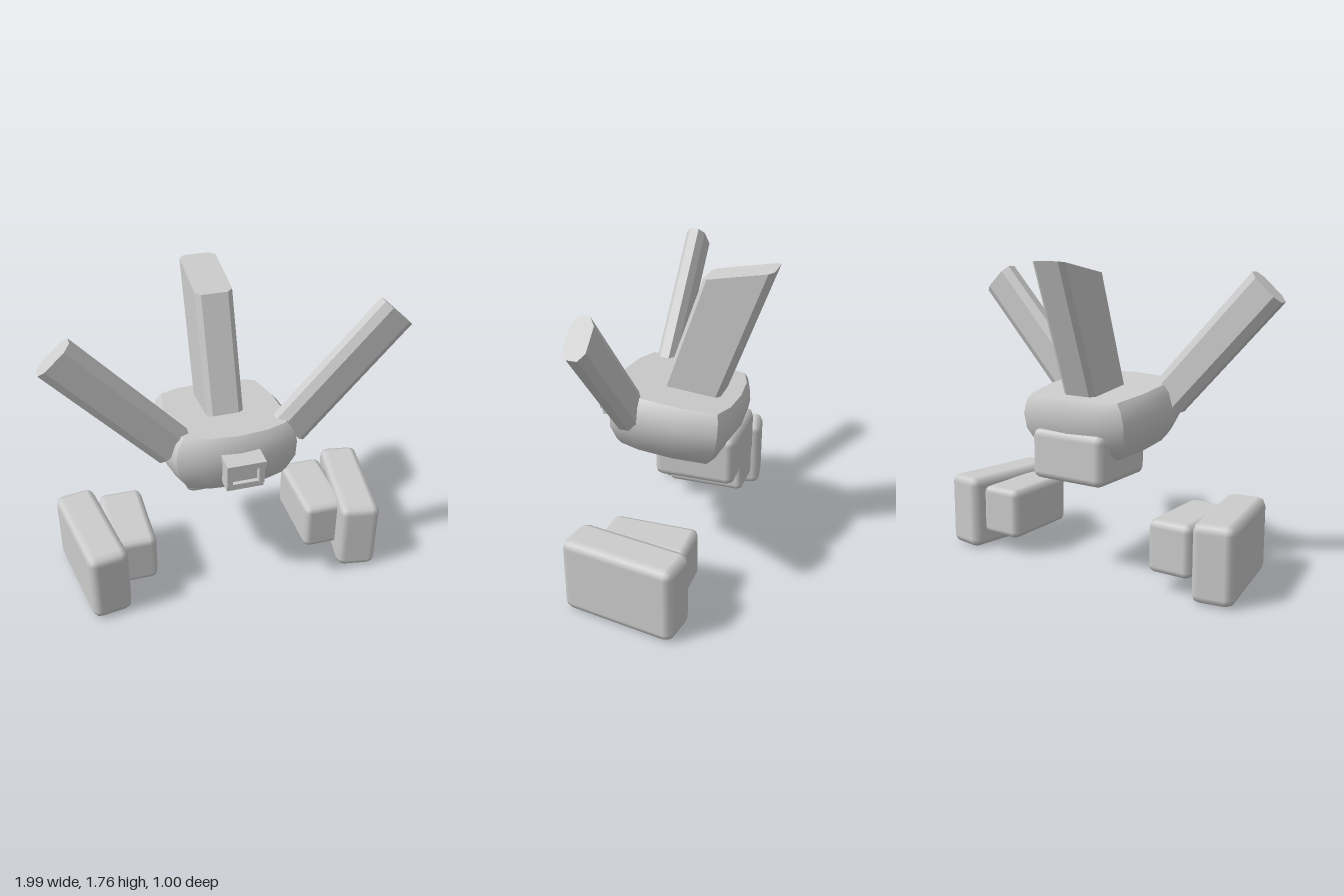
import * as THREE from 'three';
import { toCreasedNormals } from 'three/addons/utils/BufferGeometryUtils.js';
import { RoundedBoxGeometry } from 'three/addons/geometries/RoundedBoxGeometry.js';

// Joins closed rings (bottom to top, counter-clockwise from above) and caps both ends.
function loft(rings, crease) {
  const n = rings[0].length, top = rings.length - 1, verts = [];
  const tri = (a, b, c) => verts.push(...a, ...b, ...c);
  for (let i = 0; i < top; i++) {
    for (let j = 0; j < n; j++) {
      const k = (j + 1) % n;
      tri(rings[i][j], rings[i][k], rings[i + 1][k]);
      tri(rings[i][j], rings[i + 1][k], rings[i + 1][j]);
    }
  }
  for (let j = 1; j < n - 1; j++) {
    tri(rings[top][0], rings[top][j], rings[top][j + 1]);
    tri(rings[0][0], rings[0][j + 1], rings[0][j]);
  }
  const geo = new THREE.BufferGeometry();
  geo.setAttribute('position', new THREE.Float32BufferAttribute(verts, 3));
  return toCreasedNormals(geo, crease);
}

// Rectangle with cut corners, in x and z.
function octagon(w, d, cx, cz) {
  const x = w / 2, z = d / 2;
  return [[x - cx, z], [x, z - cz], [x, cz - z], [x - cx, -z],
    [cx - x, -z], [-x, cz - z], [-x, z - cz], [cx - x, z]];
}

export function createModel() {
  const model = new THREE.Group();
  const grey = new THREE.MeshStandardMaterial({ color: 0xcccccc });
  grey.name = 'grey';

  const add = (name, geo, x, y, z, parent = model) => {
    const mesh = new THREE.Mesh(geo, grey);
    mesh.name = name;
    mesh.position.set(x, y, z);
    parent.add(mesh);
    return mesh;
  };

  // Body: half plan outline mirrored, scaled per level, nose tipped up
  const half = [[0, 0.375], [0.2, 0.352], [0.34, 0.3], [0.375, 0.16],
    [0.375, -0.085], [0.335, -0.315], [0.2, -0.36], [0, -0.375]];
  const plan = [...half, ...half.slice(1, -1).reverse().map(([x, z]) => [-x, z])];
  const levels = [[-0.165, 0.79, 0.82], [-0.13, 0.85, 0.89], [-0.04, 0.98, 0.98],
    [0.05, 1, 1], [0.125, 0.94, 0.97], [0.165, 0.85, 0.92]];
  const bodyRings = levels.map(([y, sx, sz]) => plan.map(([x, z]) => [x * sx, y, z * sz]));
  add('body', loft(bodyRings, 0.55), 0, 0.885, 0.035).rotation.x = -0.105;

  // Lower housing under the rear of the body
  add('lowerHousing', new RoundedBoxGeometry(0.47, 0.29, 0.465, 1, 0.045), 0, 0.695, -0.118);

  // Swept central fin, from its root line to its slanted tip line
  const finSection = octagon(0.21, 1, 0.03, 0.07);
  const finRing = (z0, y0, z1, y1) => finSection.map(([x, t]) => {
    const f = 0.5 - t;
    return [x, y0 + (y1 - y0) * f, z0 + (z1 - z0) * f];
  });
  add('fin', loft([finRing(0.115, 1.02, -0.215, 0.99), finRing(-0.12, 1.69, -0.5, 1.76)], 0.3), 0, 0, 0);

  // Front sensor: overhanging ledge, side walls, sill and recessed panel
  const sensor = new THREE.Group();
  sensor.name = 'frontSensor';
  model.add(sensor);
  const box = (name, w, h, d, x, y, z) => add(name, new THREE.BoxGeometry(w, h, d), x, y, z, sensor);
  box('sensorLedge', 0.215, 0.035, 0.125, 0, 0.98, 0.442);
  box('sensorPanel', 0.15, 0.11, 0.08, 0, 0.91, 0.41);
  box('sensorSill', 0.206, 0.035, 0.1, 0, 0.84, 0.425);

  // Wing plate lofted along its length
  const wingSection = octagon(0.23, 0.115, 0.045, 0.03);
  const wingRings = [-0.434, 0.434].map((y) => wingSection.map(([x, z]) => [x, y, z]));
  const wingGeo = loft(wingRings, 0.3);
  const outerGeo = new RoundedBoxGeometry(0.235, 0.44, 0.665, 1, 0.048);
  const innerGeo = new RoundedBoxGeometry(0.26, 0.3, 0.5, 1, 0.04);

  for (const s of [1, -1]) {
    const side = s > 0 ? 'left' : 'right';
    box(side + 'SensorWall', 0.03, 0.11, 0.11, s * 0.088, 0.91, 0.435);
    add(side + 'Wing', wingGeo, s * 0.617, 1.305, 0.217).rotation.z = -s * 0.74;
    // Feet: toed-in outer block with a smaller inner block
    add(side + 'OuterFoot', outerGeo, s * 0.8, 0.22, 0.073).rotation.y = -s * 0.165;
    add(side + 'InnerFoot', innerGeo, s * 0.583, 0.25, 0.02);
  }

  return model;
}
